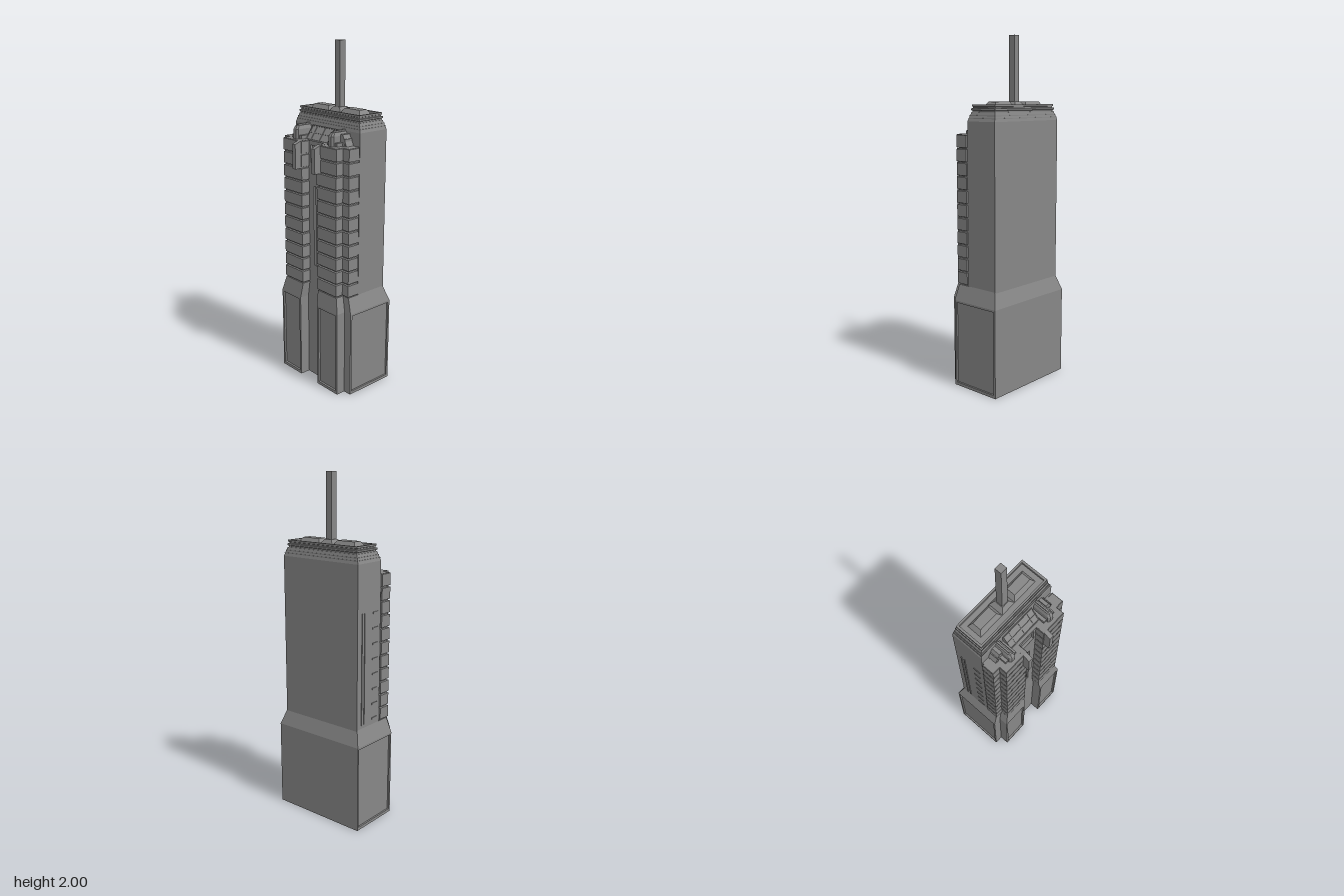
import * as THREE from 'three';

const mat = new THREE.MeshStandardMaterial({ color: 0x868686, flatShading: true });
const shellMat = new THREE.MeshStandardMaterial({ color: 0x868686, flatShading: true, side: THREE.DoubleSide });

// Rectangle in plan, counter-clockwise seen from above
const rect = (x0, x1, z0, z1) => [[x1, z1], [x1, z0], [x0, z0], [x0, z1]];
const mirror = (poly) => poly.map(([x, z]) => [-x, z]).reverse();

// Skin a stack of plan outlines [[outline, y], ...] with optional bottom cap
function loft(rings, { bottom = true } = {}) {
  const pos = [];
  const put = ([p, y], i) => pos.push(p[i][0], y, p[i][1]);
  const n = rings[0][0].length;
  for (let r = 0; r < rings.length - 1; r++) {
    const a = rings[r], b = rings[r + 1];
    for (let i = 0; i < n; i++) {
      const j = (i + 1) % n;
      put(a, i); put(a, j); put(b, j);
      put(a, i); put(b, j); put(b, i);
    }
  }
  const cap = (ring, flip) => {
    const pts = ring[0].map(([x, z]) => new THREE.Vector2(x, -z));
    for (const f of THREE.ShapeUtils.triangulateShape(pts, [])) {
      (flip ? [f[0], f[2], f[1]] : f).forEach((i) => put(ring, i));
    }
  };
  if (bottom) cap(rings[0], true);
  cap(rings[rings.length - 1], false);
  const g = new THREE.BufferGeometry();
  g.setAttribute('position', new THREE.Float32BufferAttribute(pos, 3));
  g.computeVertexNormals();
  return g;
}

// Flat plate in the xy plane with rectangular holes [x0, x1, y0, y1]
function plate([x0, x1, y0, y1], holes, depth) {
  const path = (P, a, b, c, d) => new P([[a, c], [b, c], [b, d], [a, d]].map((p) => new THREE.Vector2(...p)));
  const s = path(THREE.Shape, x0, x1, y0, y1);
  s.holes = holes.map((h) => path(THREE.Path, ...h));
  return new THREE.ExtrudeGeometry(s, { depth, bevelEnabled: false });
}

export function createModel() {
  const model = new THREE.Group();
  const add = (name, geo, m = mat) => {
    const mesh = new THREE.Mesh(geo, m);
    mesh.name = name;
    model.add(mesh);
    return mesh;
  };
  const box = (name, x0, x1, y0, y1, z0, z1) =>
    add(name, new THREE.BoxGeometry(x1 - x0, y1 - y0, z1 - z0))
      .position.set((x0 + x1) / 2, (y0 + y1) / 2, (z0 + z1) / 2);
  // A loft and its twin on the other side
  const pair = (name, rings) => {
    add(name + 'Left', loft(rings));
    add(name + 'Right', loft(rings.map(([p, y]) => [mirror(p), y])));
  };

  // Base: hollow, stepped plan with sunken panels, tapering into the shaft
  const basePlan = (w, zb, zs, wx, zw, cx, zc) => {
    const half = [[cx, zc], [cx, zw], [wx, zw], [wx, zs], [w, zs], [w, zb]];
    return [...half, ...mirror(half)];
  };
  const foot = basePlan(0.29, -0.2, 0.115, 0.25, 0.16, 0.075, 0.111);
  const sill = basePlan(0.3, -0.2, 0.115, 0.25, 0.172, 0.075, 0.111);
  const neck = basePlan(0.27, -0.17, 0.105, 0.225, 0.157, 0.067, 0.105);
  add('base', loft([[foot, 0], [foot, 0.51], [sill, 0.51], [neck, 0.6]], { bottom: false }), shellMat);

  // Frames around the base panels
  for (const s of [1, -1]) {
    const [a, b] = s > 0 ? [0.075, 0.25] : [-0.25, -0.075];
    add('frontPanelFrame', plate([a, b, 0, 0.51], [[a + 0.013, b - 0.013, 0.018, 0.498]], 0.012))
      .position.z = 0.16;
    const side = add('sidePanelFrame',
      plate([-0.115, 0.2, 0, 0.51], [[-0.102, 0.188, 0.018, 0.498]], 0.01));
    side.rotation.y = Math.PI / 2;
    side.position.x = s > 0 ? 0.29 : -0.3;
  }

  // Main shaft, stepped crown and sunken roof in one skin
  const r = (w, d) => rect(-w, w, -0.172 + d, 0.03 - d);
  add('shaft', loft([
    [r(0.27, 0), 0.59], [r(0.27, 0), 1.53], [r(0.251, 0.013), 1.58],
    [r(0.247, 0.017), 1.58], [r(0.247, 0.017), 1.588], [r(0.253, 0.012), 1.591],
    [r(0.253, 0.012), 1.6], [r(0.244, 0.019), 1.602], [r(0.244, 0.019), 1.609],
    [r(0.249, 0.015), 1.611], [r(0.249, 0.015), 1.621],
    [r(0.236, 0.026), 1.621], [r(0.236, 0.026), 1.607],
  ]));
  for (const y of [1.545, 1.56]) {
    const t = (y - 1.53) / 0.05;
    const w = 0.2715 - 0.019 * t, d = 0.013 * t - 0.0015;
    add('crownBand', loft([[r(w, d), y], [r(w, d), y + 0.004]]));
  }

  // Tall strip and short ledges on the right flank
  for (const z of [-0.135, -0.112]) box('flankStrip', -0.274, -0.268, 0.62, 1.26, z, z + 0.006);
  for (let i = 0; i < 8; i++) {
    const y = 0.63 + i * 0.088;
    box('flankLedge', -0.274, -0.268, y, y + 0.01, -0.04, 0.005);
  }

  // Roof housings and mast
  pair('roofHousing', [[rect(0.047, 0.206, -0.118, -0.028), 1.607], [rect(0.068, 0.185, -0.1, -0.047), 1.636]]);
  add('mastFoot', loft([[rect(-0.047, 0.047, -0.118, -0.028), 1.607], [rect(-0.024, 0.024, -0.1, -0.047), 1.636]]));
  box('mast', -0.02, 0.02, 1.62, 2, -0.092, -0.052);

  // Front wings: storeys separated by narrow grooves
  const wing = (d) => [
    [0.065 + d, 0.16 - d], [0.226 - d, 0.16 - d], [0.226 - d, 0.112 - d],
    [0.275 - d, 0.112 - d], [0.275 - d, 0.037 + d], [0.065 + d, 0.037 + d],
  ];
  const storeys = [];
  for (let i = 0; i < 11; i++) {
    const y0 = 0.6 + i * 0.0778, y1 = y0 + 0.0778;
    storeys.push([wing(0.009), y0], [wing(0.009), y0 + 0.005], [wing(0), y0 + 0.008],
      [wing(0), y1 - 0.003], [wing(0.009), y1]);
  }
  storeys.splice(-1, 1, [wing(0.003), 1.456]);
  pair('wing', storeys);
  pair('wingLink', [[rect(0.05, 0.265, 0.02, 0.055), 0.59], [rect(0.05, 0.265, 0.02, 0.055), 1.455]]);

  // Fins at the inner top corners of the wings
  pair('fin', [[rect(0.07, 0.096, 0.1, 0.2), 1.3], [rect(0.07, 0.096, 0.1, 0.2), 1.441],
    [rect(0.07, 0.096, 0.1, 0.16), 1.457]]);

  // Centre bay with a tall slot and a square recess
  box('centreBay', -0.07, 0.07, 0.59, 1.456, 0.02, 0.09);
  add('centreBayFace', plate([-0.07, 0.07, 0.59, 1.456],
    [[-0.024, 0.024, 0.715, 1.195], [-0.05, 0.05, 1.33, 1.43]], 0.015)).position.z = 0.09;
  box('slotBar', -0.015, 0.015, 0.715, 1.195, 0.088, 0.1);

  // Sloping glazed roof with its bars
  const gz = [0.086, 0.034], gy = [1.456, 1.527];
  add('glazedRoof', loft([[rect(-0.11, 0.11, 0.02, gz[0]), gy[0]], [rect(-0.11, 0.11, 0.02, gz[1]), gy[1]]]));
  const tilt = Math.atan2(gz[1] - gz[0], gy[1] - gy[0]);
  const len = Math.hypot(gz[1] - gz[0], gy[1] - gy[0]);
  const bar = (w, h, x, t) => {
    const m = add('glazingBar', new THREE.BoxGeometry(w, h, 0.006));
    m.position.set(x, gy[0] + (gy[1] - gy[0]) * t, gz[0] + (gz[1] - gz[0]) * t);
    m.rotation.x = tilt;
  };
  for (const x of [-0.108, -0.07, 0, 0.07, 0.108]) bar(0.004, len, x, 0.5);
  for (const t of [0.02, 0.5, 0.98]) bar(0.22, 0.004, 0, t);

  // Pods on the deck with chamfered noses, each on a plinth with a ridge
  const pod = (w, z) => [[0.15 + w, 0.02], [0.15 - w, 0.02], [0.15 - w, z - 0.01],
    [0.15 - w * 0.5, z], [0.15 + w * 0.5, z], [0.15 + w, z - 0.01]];
  pair('podPlinth', [[rect(0.11, 0.19, 0.02, 0.121), 1.45], [rect(0.11, 0.19, 0.02, 0.121), 1.476]]);
  pair('pod', [[pod(0.021, 0.138), 1.45], [pod(0.021, 0.138), 1.51], [pod(0.013, 0.125), 1.53]]);
  pair('podRidge', [[rect(0.145, 0.155, 0.02, 0.115), 1.52], [rect(0.145, 0.155, 0.02, 0.115), 1.538]]);

  // Slopes outside the pods, each with a bar along the middle
  pair('deckSlope', [[rect(0.17, 0.224, 0.02, 0.081), 1.45], [rect(0.17, 0.19, 0.02, 0.081), 1.518]]);
  pair('slopeBar', [[rect(0.203, 0.208, 0.02, 0.083), 1.45], [rect(0.203, 0.208, 0.02, 0.083), 1.495]]);
  return model;
}
